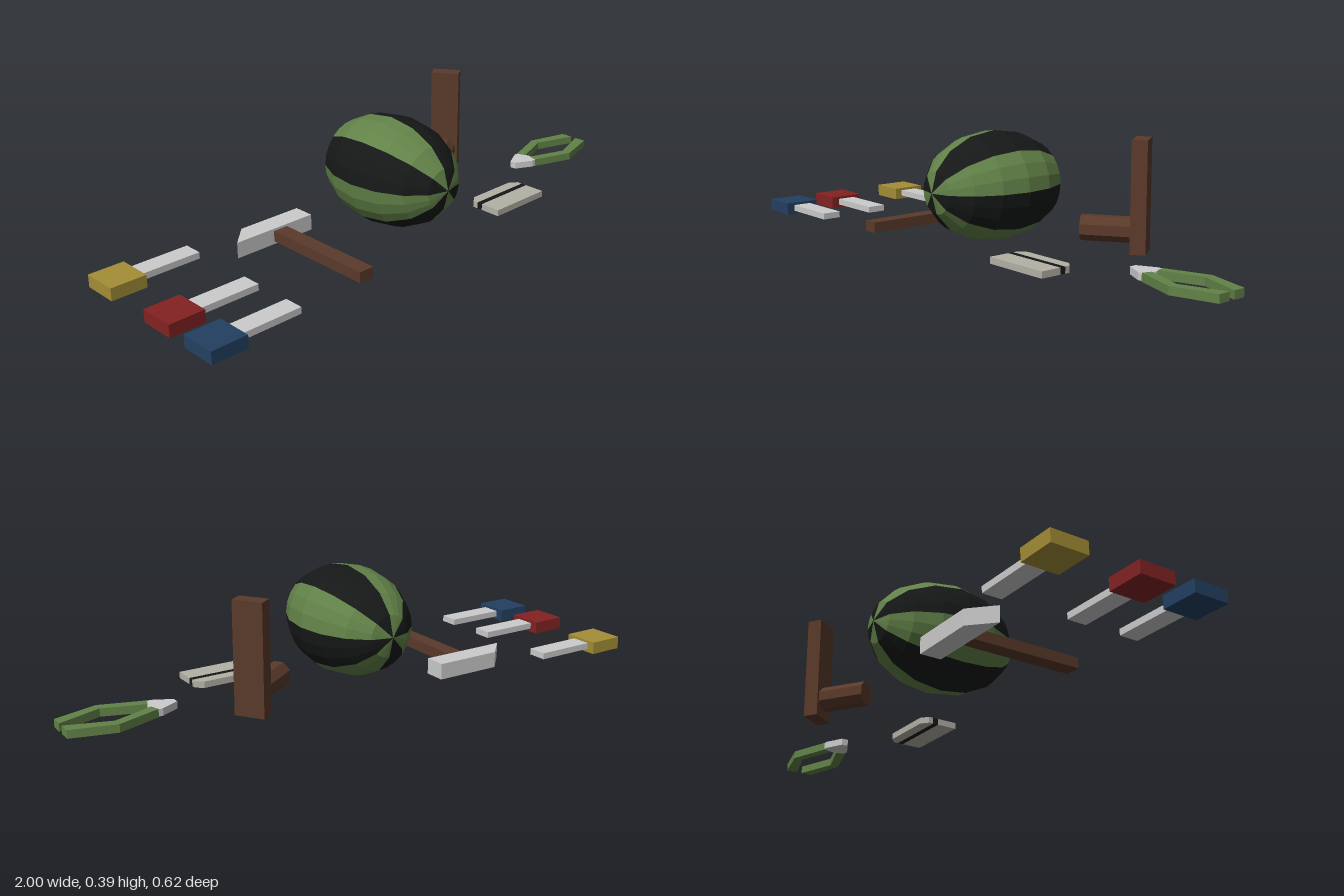
import * as THREE from 'three';

const mat = (color) => new THREE.MeshStandardMaterial({ color, flatShading: true });
const metal = mat(0xcccccc);
const brown = mat(0x5a3a2a);
const green = mat(0x628248);
const black = mat(0x161818);
const ivory = mat(0xb4b1a6);

function add(parent, name, geometry, material) {
  const mesh = new THREE.Mesh(geometry, material);
  mesh.name = name;
  parent.add(mesh);
  return mesh;
}

function addGroup(parent, name) {
  const group = new THREE.Group();
  group.name = name;
  parent.add(group);
  return group;
}

// Box given by its minimum and maximum corners
function block(x0, x1, y0, y1, z0, z1) {
  return new THREE.BoxGeometry(x1 - x0, y1 - y0, z1 - z0)
    .translate((x0 + x1) / 2, (y0 + y1) / 2, (z0 + z1) / 2);
}

// Flat plate: outline of [x, z] points, raised from y0 to y1
function plate(points, y0, y1) {
  const shape = new THREE.Shape(points.map(([x, z]) => new THREE.Vector2(x, -z)));
  return new THREE.ExtrudeGeometry(shape, { depth: y1 - y0, bevelEnabled: false })
    .rotateX(-Math.PI / 2).translate(0, y0, 0);
}

export function createModel() {
  const model = new THREE.Group();
  model.name = 'toolSet';

  // Three screwdriver-like tools in a column
  for (const [name, color, z] of [
    ['yellowTool', 0xa58e36, -0.25], ['redTool', 0x842222, 0.05], ['blueTool', 0x234062, 0.248],
  ]) {
    const tool = addGroup(model, name);
    add(tool, 'grip', block(-1, -0.875, 0, 0.043, z - 0.063, z + 0.063), mat(color));
    add(tool, 'shaft', block(-0.875, -0.66, 0.012, 0.034, z - 0.034, z + 0.034), metal);
  }

  // Hammer with one slanted end
  const hammer = addGroup(model, 'hammer');
  add(hammer, 'hammerHead', plate(
    [[-0.56, -0.15], [-0.25, -0.15], [-0.25, -0.225], [-0.485, -0.225]], 0, 0.055), metal);
  add(hammer, 'hammerHandle', block(-0.41, -0.355, 0.01, 0.047, -0.15, 0.262), brown);

  // Striped melon: eight wedges about the z axis
  const melon = addGroup(model, 'melon');
  melon.position.set(-0.02, 0.197, 0);
  for (let i = 0; i < 8; i++) {
    const wedge = new THREE.SphereGeometry(1, 1, 8, i * Math.PI / 4, Math.PI / 4)
      .rotateX(Math.PI / 2).scale(0.186, 0.186, 0.261);
    add(melon, i % 2 ? 'darkStripe' : 'greenStripe', wedge, i % 2 ? black : green);
  }

  // Upright board with an octagonal peg, turned on its vertical axis
  const paddle = addGroup(model, 'paddle');
  paddle.position.set(0.4645, 0, -0.205);
  paddle.rotation.y = THREE.MathUtils.degToRad(35);
  add(paddle, 'board', block(-0.0255, 0.0255, 0.022, 0.388, -0.05, 0.05), brown);
  add(paddle, 'peg', new THREE.CylinderGeometry(0.0433, 0.0433, 0.17, 8)
    .rotateY(Math.PI / 8).rotateZ(Math.PI / 2).translate(-0.105, 0.093, 0), brown);

  // Small cutter with a dark strip across it
  const cutter = addGroup(model, 'cutter');
  add(cutter, 'cutterBody', block(0.255, 0.495, 0.014, 0.036, 0.168, 0.242), ivory);
  add(cutter, 'cutterStrip', block(0.255, 0.495, 0.014, 0.036, 0.148, 0.168), black);
  add(cutter, 'cutterBack', plate(
    [[0.255, 0.148], [0.495, 0.148], [0.495, 0.13], [0.47, 0.109], [0.28, 0.109], [0.255, 0.13]],
    0.014, 0.036), ivory);

  // Pliers: jaws and two mirrored bent handles
  const pliers = addGroup(model, 'pliers');
  pliers.position.z = -0.003;
  add(pliers, 'jaws', plate(
    [[0.627, -0.012], [0.69, -0.044], [0.71, -0.044], [0.72, 0],
      [0.71, 0.044], [0.69, 0.044], [0.627, 0.012]], 0.016, 0.04), metal);
  for (const side of [-1, 1]) {
    const outline = [[0.705, 0.044], [0.853, 0.094], [1, 0.053],
      [1, 0.01], [0.853, 0.06], [0.715, 0.012]];
    add(pliers, side > 0 ? 'frontHandle' : 'backHandle',
      plate(outline.map(([x, z]) => [x, side * z]), 0.014, 0.041), green);
  }

  return model;
}
